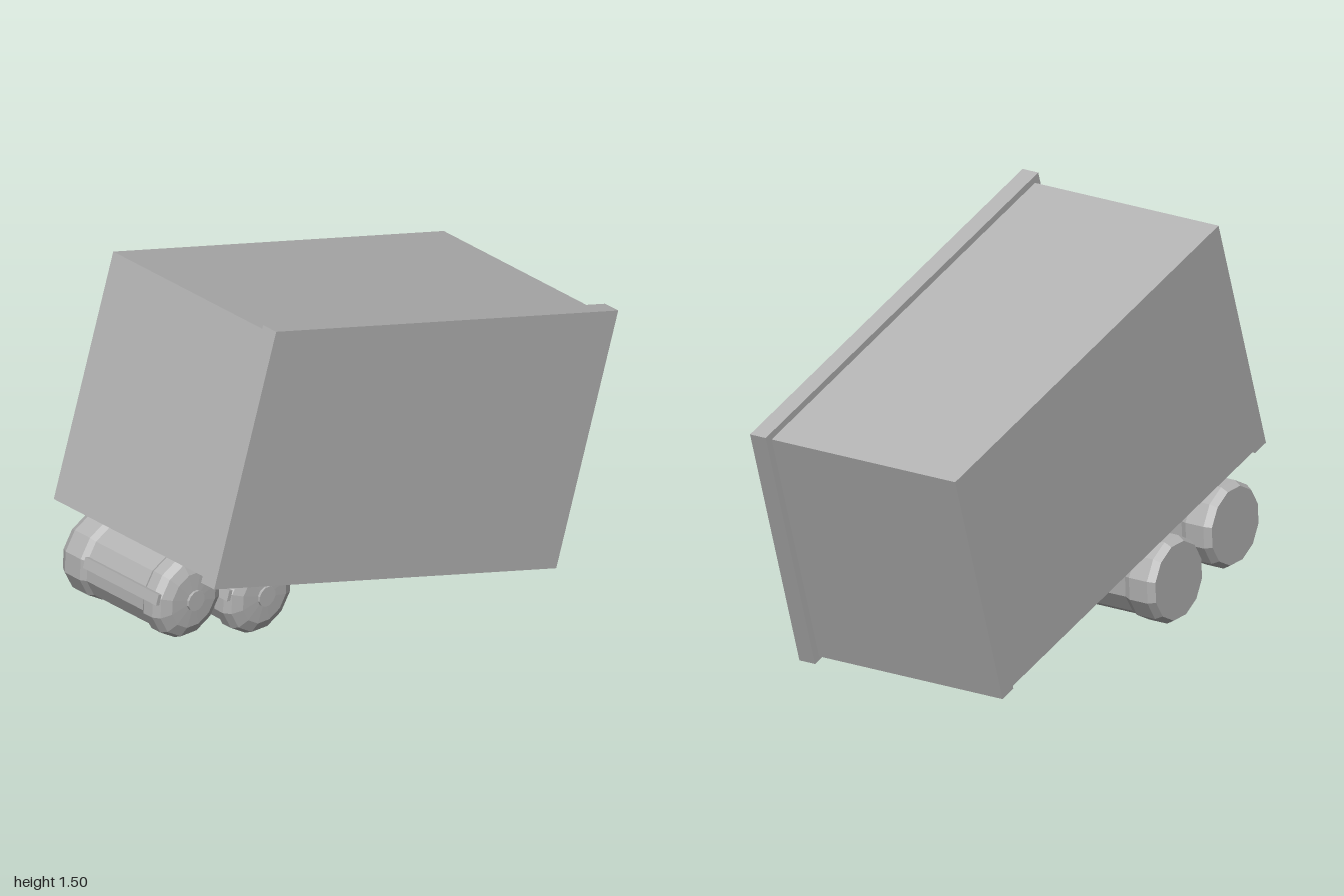
import * as THREE from 'three';

export function createModel() {
  const model = new THREE.Group();
  model.name = 'tiltedCabinet';
  const grey = new THREE.MeshStandardMaterial({ color: 0xb2b2b2, flatShading: true });
  grey.name = 'grey';

  // everything sits in one frame, tilted down towards +x
  const tilted = new THREE.Group();
  tilted.name = 'tiltedAssembly';
  tilted.rotation.z = -0.312;
  tilted.position.y = 0.752;
  model.add(tilted);

  function add(name, geometry, x, y, z) {
    const mesh = new THREE.Mesh(geometry, grey);
    mesh.name = name;
    mesh.position.set(x, y, z);
    tilted.add(mesh);
    return mesh;
  }
  const box = (name, w, h, d, x, y, z) => add(name, new THREE.BoxGeometry(w, h, d), x, y, z);

  // front panel and the body behind it
  box('frontPanel', 1.78, 1.0, 0.07, 0, 0, 0.41);
  box('body', 1.72, 0.948, 0.82, 0, 0, -0.035);

  // shallow runners under both ends
  for (const side of [-1, 1]) {
    box('endRunner', 0.07, 0.012, 0.82, side * 0.825, -0.48, -0.035);
  }

  // drum profile from back to front: flat cap, back band, barrel, front band, rounded nose
  const profile = [
    [0, -0.442], [0.148, -0.442], [0.164, -0.415], [0.164, -0.335], [0.153, -0.31],
    [0.153, -0.01], [0.164, 0.005], [0.164, 0.05], [0.15, 0.08], [0.11, 0.1],
    [0.04, 0.105], [0.04, 0.115], [0, 0.115],
  ].map(([r, z]) => new THREE.Vector2(r, z));
  const drum = new THREE.LatheGeometry(profile, 12);
  drum.rotateX(Math.PI / 2);

  // two drums, each with a slim rail alongside
  for (const x of [-0.6, -0.231]) {
    add('drum', drum, x, -0.683, 0);
    box('sideRail', 0.016, 0.042, 0.39, x - 0.173, -0.681, -0.105);
  }
  return model;
}
